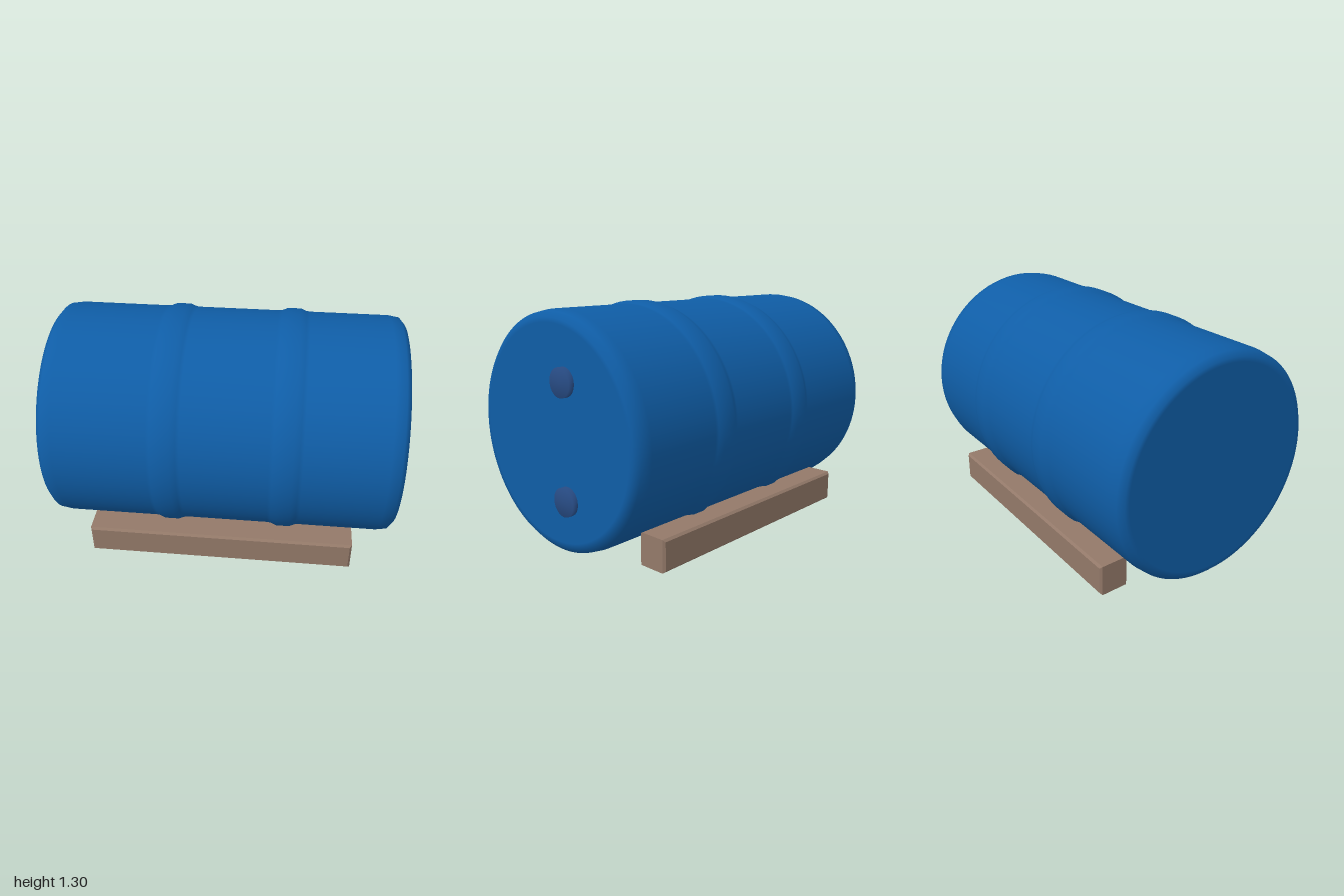
import * as THREE from 'three';

const blue = new THREE.MeshStandardMaterial({ name: 'barrelBlue', color: 0x0f5da6 });
const darkBlue = new THREE.MeshStandardMaterial({ name: 'capBlue', color: 0x284c85 });
const wood = new THREE.MeshStandardMaterial({ name: 'wood', color: 0x937969 });

const AXIS_Y = 0.655;

// Turned solid lying along x; the profile lists [x, radius]
function turned(name, profile, segments, material) {
  const points = profile.map(([x, r]) => new THREE.Vector2(r, x));
  const geometry = new THREE.LatheGeometry(points, segments).rotateZ(-Math.PI / 2);
  const mesh = new THREE.Mesh(geometry, material);
  mesh.name = name;
  return mesh;
}

// Box with chamfered edges, centred on the origin
function chamferedBox(width, height, depth, c) {
  const w = width / 2 - c, h = height / 2 - c;
  const shape = new THREE.Shape([
    new THREE.Vector2(-w, -h), new THREE.Vector2(w, -h),
    new THREE.Vector2(w, h), new THREE.Vector2(-w, h),
  ]);
  return new THREE.ExtrudeGeometry(shape, {
    depth: depth - 2 * c, bevelSize: c, bevelThickness: c, bevelSegments: 1,
  }).translate(0, 0, c - depth / 2);
}

export function createModel() {
  const model = new THREE.Group();
  model.name = 'barrelOnBeams';

  // Barrel body with rounded rims and two raised hoops
  const R = 0.634;
  const hoop = (x) => [
    [x - 0.09, R], [x - 0.07, R + 0.003], [x - 0.038, 0.65],
    [x + 0.038, 0.65], [x + 0.07, R + 0.003], [x + 0.09, R],
  ];
  const barrel = turned('barrel', [
    [-1, 0], [-1, 0.57], [-1, 0.595], [-0.973, 0.625], [-0.915, R],
    ...hoop(-0.31), ...hoop(0.345),
    [0.885, R], [0.943, 0.625], [0.97, 0.595], [0.97, 0.57], [0.97, 0],
  ], 96, blue);
  barrel.position.y = AXIS_Y;
  model.add(barrel);

  // Two screw caps on one end
  for (const [name, y] of [['upperCap', 0.94], ['lowerCap', 0.326]]) {
    const cap = turned(name, [[0, 0.077], [0.032, 0.077], [0.032, 0]], 40, darkBlue);
    cap.position.set(0.968, y, -0.11);
    model.add(cap);
  }

  // Supporting beams on both sides
  for (const [name, side] of [['frontBeam', 1], ['backBeam', -1]]) {
    const beam = new THREE.Mesh(chamferedBox(1.53, 0.178, 0.176, 0.012), wood);
    beam.name = name;
    beam.position.set(-0.015, 0.089, side * 0.485);
    model.add(beam);
  }
  return model;
}
